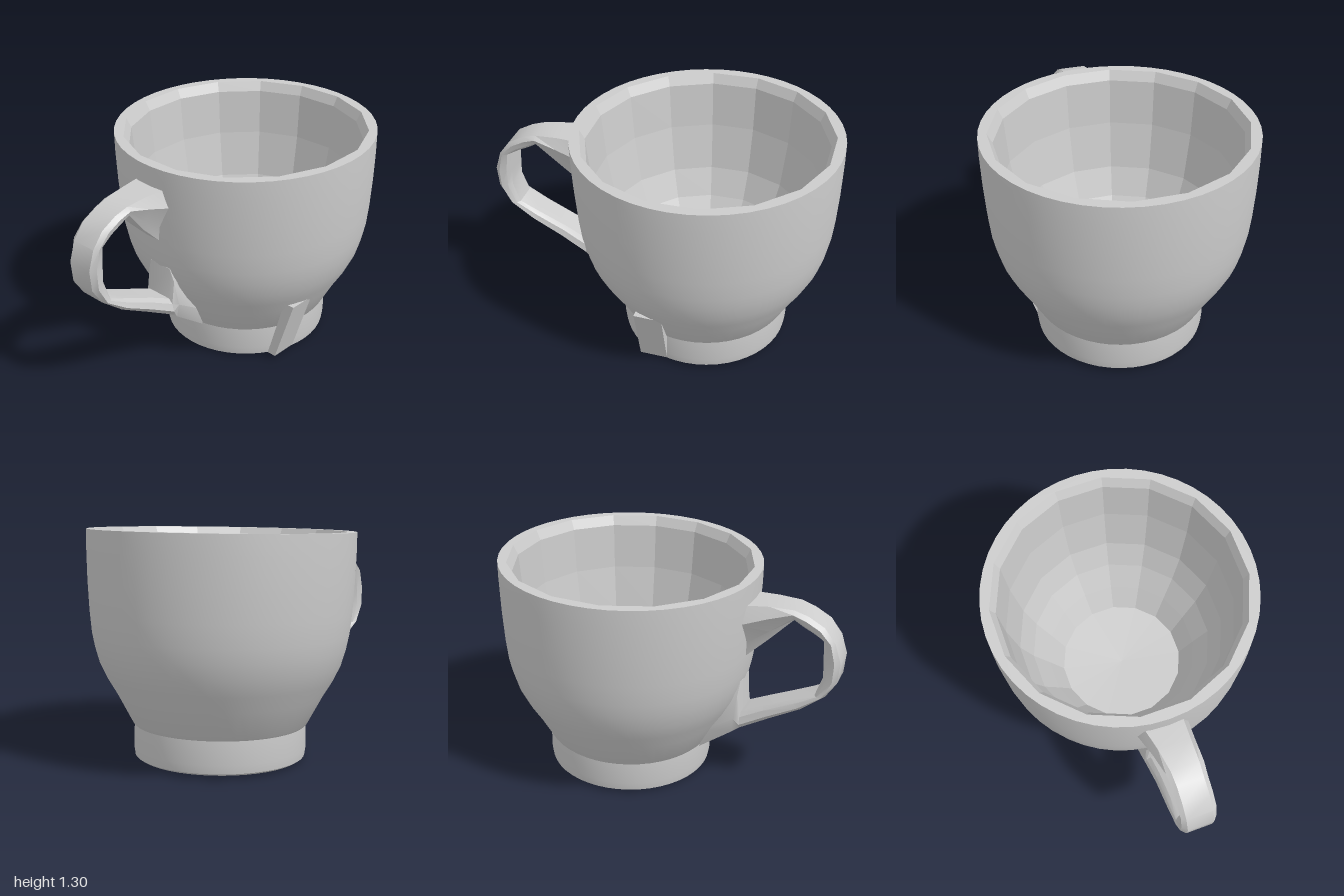
import * as THREE from 'three';
import { toCreasedNormals } from 'three/addons/utils/BufferGeometryUtils.js';

const smooth = new THREE.MeshStandardMaterial({ color: 0xcccccc });
const faceted = new THREE.MeshStandardMaterial({ color: 0xcccccc, flatShading: true });

const SIDES = 16; // facets of the inner wall
const RIM_OUTER = 0.748;
const RIM_INNER = 0.7;
const HEIGHT = 1.276;

function addMesh(group, name, geometry, material) {
  const mesh = new THREE.Mesh(geometry, material);
  mesh.name = name;
  group.add(mesh);
  return mesh;
}

function lathe(points, segments, phi = 0) {
  return new THREE.LatheGeometry(points.map(([r, y]) => new THREE.Vector2(r, y)), segments, phi);
}

function polygon(radius, sides, offset) {
  return Array.from({ length: sides }, (_, i) => {
    const a = ((i + offset) * Math.PI * 2) / sides;
    return new THREE.Vector2(radius * Math.cos(a), radius * Math.sin(a));
  });
}

// Loft through sections: outer edge, inner edge, half widths at each, z offset
function handleGeometry(sections) {
  const position = [];
  const index = [];
  for (const [ox, oy, ix, iy, wo, wi, zc] of sections) {
    const half = [[0, 0.75 * wo], [0.3, wo], [0.75, wi], [1, 0.75 * wi]];
    const ring = [...half, ...half.slice().reverse().map(([t, w]) => [t, -w])];
    for (const [t, z] of ring) {
      position.push(ox + (ix - ox) * t, oy + (iy - oy) * t, zc + z);
    }
  }
  for (let i = 0; i < sections.length - 1; i++) {
    for (let j = 0; j < 8; j++) {
      const a = i * 8 + j;
      const b = i * 8 + ((j + 1) % 8);
      index.push(a, a + 8, b, b, a + 8, b + 8);
    }
  }
  const geometry = new THREE.BufferGeometry();
  geometry.setAttribute('position', new THREE.Float32BufferAttribute(position, 3));
  geometry.setIndex(index);
  return toCreasedNormals(geometry, 0.5);
}

export function createModel() {
  const model = new THREE.Group();
  model.name = 'cup';

  // The bowl leans slightly towards the handle
  const bowl = new THREE.Group();
  bowl.name = 'bowl';
  bowl.position.set(0.278, 0.014, 0);
  bowl.rotation.z = 0.022;
  model.add(bowl);

  // Foot ring and rounded outer wall
  const outer = lathe([
    [0.465, 0], [0.483, 0.012], [0.49, 0.06], [0.487, 0.19], [0.497, 0.2],
    [0.582, 0.36], [0.636, 0.45], [0.679, 0.54], [0.705, 0.63], [0.721, 0.71],
    [0.733, 0.83], [0.743, 1.0], [RIM_OUTER, 1.17], [RIM_OUTER, HEIGHT],
  ], 48);
  addMesh(bowl, 'outerWall', toCreasedNormals(outer, 0.45), smooth);

  // Flat rim between the round outside and the faceted inside
  const rimShape = new THREE.Shape(polygon(RIM_OUTER, 48, 0));
  rimShape.holes.push(new THREE.Path(polygon(RIM_INNER, SIDES, 0.5)));
  const rim = addMesh(bowl, 'rim', new THREE.ShapeGeometry(rimShape), smooth);
  rim.rotation.x = -Math.PI / 2;
  rim.position.y = HEIGHT;

  // Faceted inner wall down to the floor
  const inner = lathe([
    [RIM_INNER, HEIGHT], [0.672, 1.22], [0.65, 0.95], [0.6, 0.67],
    [0.535, 0.5], [0.45, 0.35], [0.37, 0.2], [0, 0.18],
  ], SIDES, Math.PI / SIDES);
  addMesh(bowl, 'innerWall', inner, faceted);

  // Shallow hollow under the foot
  const underside = lathe([[0, 0.06], [0.3, 0.055], [0.465, 0]], 48);
  addMesh(bowl, 'underside', underside, faceted);

  // Flat panel bridging the bowl and the foot at the front
  const panelShape = new THREE.Shape([[0.42, 0.03], [0.475, 0.03], [0.595, 0.42], [0.53, 0.42]]
    .map(([z, y]) => new THREE.Vector2(z, y)));
  const panelGeometry = new THREE.ExtrudeGeometry(panelShape, { depth: 0.16, bevelEnabled: false });
  const panel = addMesh(model, 'footPanel', panelGeometry, faceted);
  panel.rotation.y = -Math.PI / 2;
  panel.position.x = 0.17;

  // Handle, flaring into the wall at both ends
  const handle = handleGeometry([
    [-0.45, 1.155, -0.45, 0.81, 0.145, 0.06, -0.025],
    [-0.6, 1.158, -0.6, 0.955, 0.12, 0.075, -0.01],
    [-0.73, 1.15, -0.73, 1.09, 0.105, 0.09, 0],
    [-0.81, 1.125, -0.78, 1.06, 0.1, 0.09, 0],
    [-0.9, 1.075, -0.84, 1.03, 0.1, 0.09, 0],
    [-0.965, 0.99, -0.9, 0.995, 0.1, 0.09, 0],
    [-1.0, 0.88, -0.905, 0.88, 0.1, 0.09, 0],
    [-0.99, 0.76, -0.91, 0.78, 0.1, 0.09, 0],
    [-0.93, 0.665, -0.87, 0.66, 0.1, 0.09, 0],
    [-0.8, 0.56, -0.75, 0.605, 0.1, 0.09, 0],
    [-0.62, 0.46, -0.58, 0.53, 0.1, 0.09, 0],
    [-0.45, 0.365, -0.455, 0.47, 0.11, 0.1, 0],
    [-0.41, 0.335, -0.445, 0.66, 0.12, 0.1, 0],
    [-0.21, 0.19, -0.36, 0.66, 0.13, 0.11, 0],
  ]);
  addMesh(model, 'handle', handle, smooth);

  return model;
}
